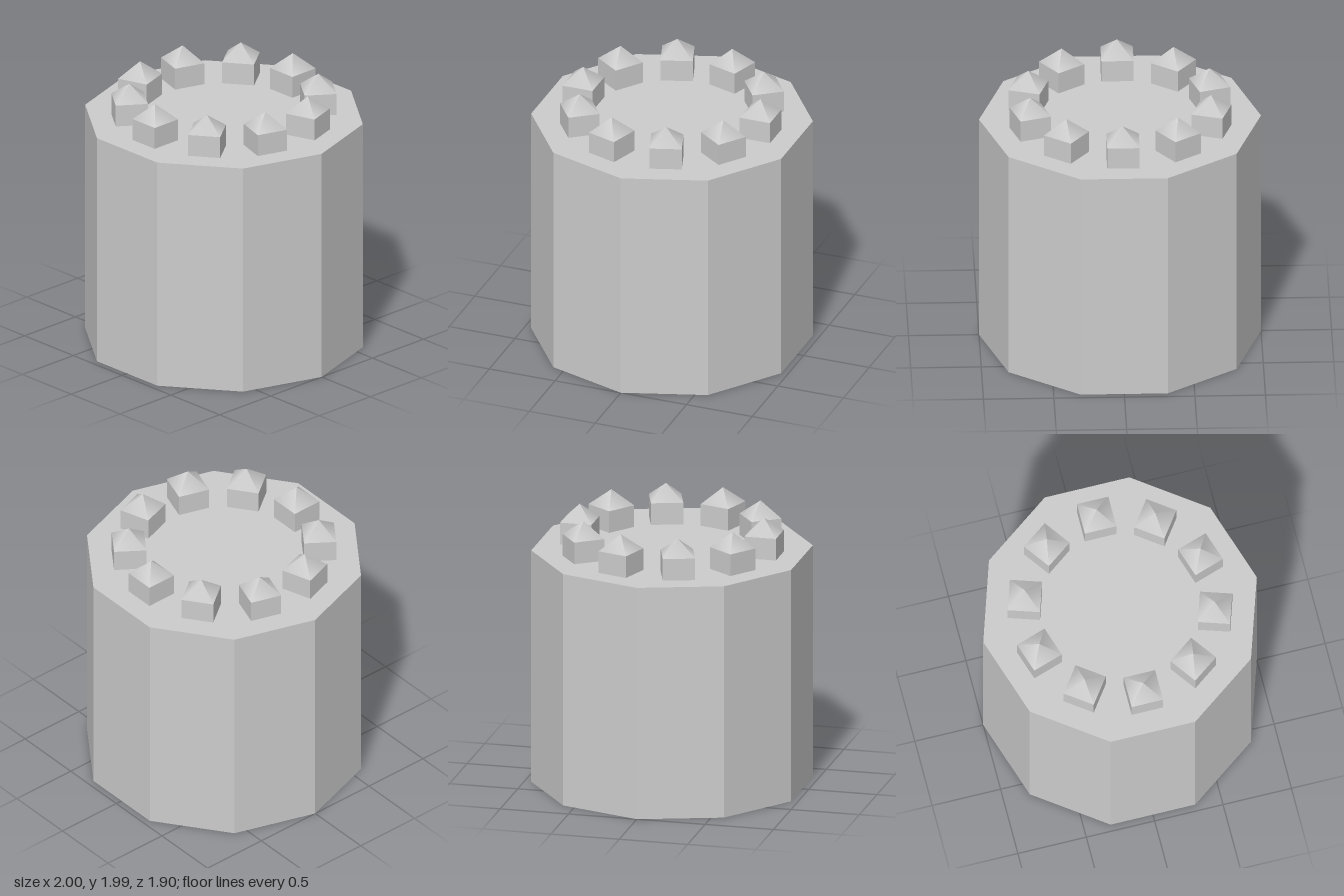
import * as THREE from 'three';

const SIDES = 10;
const BODY_H = 1.715;
const POST_W = 0.23, POST_H = 0.16, ROOF_H = 0.115, RING_R = 0.675;

export function createModel() {
  const model = new THREE.Group();
  const flat = new THREE.MeshStandardMaterial({ color: 0xcccccc, flatShading: true });
  const smooth = new THREE.MeshStandardMaterial({ color: 0xcccccc });

  const add = (parent, name, geometry, material, y) => {
    const mesh = new THREE.Mesh(geometry, material);
    mesh.name = name;
    mesh.position.y = y;
    parent.add(mesh);
  };

  // Ten-sided drum with corners on the x axis
  const drum = new THREE.CylinderGeometry(1, 1, BODY_H, SIDES, 1, false, Math.PI / 2);
  add(model, 'drum', drum, flat, BODY_H / 2);

  // Ring of square posts with soft-shaded pyramid caps, one per drum side
  const postGeo = new THREE.BoxGeometry(POST_W, POST_H, POST_W);
  const roofGeo = new THREE.ConeGeometry(POST_W * Math.SQRT1_2, ROOF_H, 4, 1, true, Math.PI / 4);
  for (let i = 0; i < SIDES; i++) {
    const angle = (i / SIDES) * Math.PI * 2;
    const turret = new THREE.Group();
    turret.name = `turret${i + 1}`;
    turret.position.set(Math.sin(angle) * RING_R, BODY_H, Math.cos(angle) * RING_R);
    turret.rotation.y = angle;
    add(turret, 'post', postGeo, flat, POST_H / 2);
    add(turret, 'roof', roofGeo, smooth, POST_H + ROOF_H / 2);
    model.add(turret);
  }
  return model;
}
